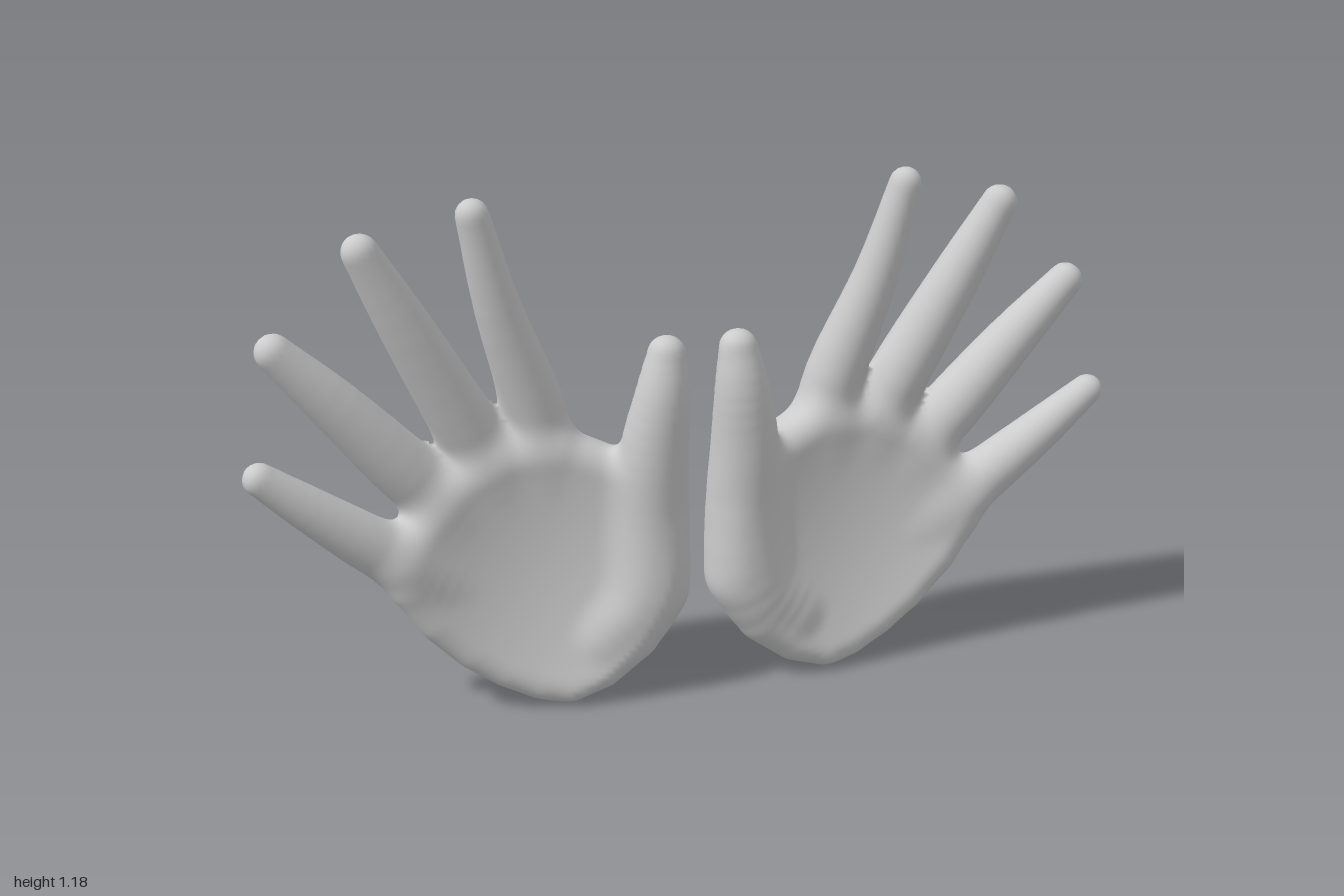
import * as THREE from 'three';

// Fingers: points along the middle, [x, y, z, radius], from inside the palm to the tip
const FINGERS = {
  thumb: [[0.22, 0.15, 0.03, 0.06], [0.128, 0.25, 0.032, 0.084], [0.108, 0.42, 0.033, 0.083], [0.106, 0.58, 0.05, 0.077], [0.092, 0.72, 0.07, 0.061], [0.082, 0.815, 0.07, 0.043]],
  indexFinger: [[0.33, 0.38, -0.05, 0.02], [0.335, 0.57, -0.053, 0.059], [0.355, 0.69, -0.044, 0.068], [0.435, 0.93, -0.007, 0.051], [0.488, 1.143, 0.018, 0.036]],
  middleFinger: [[0.41, 0.4, -0.055, 0.02], [0.465, 0.56, -0.057, 0.059], [0.51, 0.66, -0.048, 0.07], [0.627, 0.89, -0.015, 0.058], [0.724, 1.08, 0.01, 0.04]],
  ringFinger: [[0.47, 0.37, -0.05, 0.02], [0.57, 0.485, -0.05, 0.059], [0.64, 0.565, -0.042, 0.07], [0.785, 0.735, -0.024, 0.058], [0.913, 0.876, -0.01, 0.04]],
  littleFinger: [[0.5, 0.27, -0.03, 0.02], [0.62, 0.335, -0.015, 0.057], [0.705, 0.4, 0, 0.064], [0.84, 0.51, 0.02, 0.052], [0.965, 0.615, 0.035, 0.036]],
};
// Palm: a convex outline in x and y, counterclockwise, rounded off by PALM_RADIUS
const PALM = [[0.31, 0.064], [0.37, 0.078], [0.44, 0.112], [0.51, 0.162], [0.585, 0.24], [0.635, 0.32], [0.645, 0.365],
  [0.6, 0.43], [0.52, 0.515], [0.42, 0.565], [0.31, 0.57], [0.2, 0.52], [0.115, 0.4], [0.095, 0.25], [0.16, 0.145], [0.24, 0.086]];
const PALM_RADIUS = 0.064;
const PALM_FLAT = 0.01;
const BLEND = 0.045;

// Each finger becomes a smooth run of tapering bones
const CHAINS = Object.entries(FINGERS).map(([name, pts]) => {
  const curve = (toVector) => new THREE.CatmullRomCurve3(pts.map(toVector), false, 'catmullrom');
  const line = curve((p) => new THREE.Vector3(p[0], p[1], p[2]));
  const radius = curve((p) => new THREE.Vector3(p[3], 0, 0));
  const count = (pts.length - 1) * 4;
  const bones = Array.from({ length: count + 1 }, (_, i) => {
    const { x, y, z } = line.getPoint(i / count);
    return [x, y, z, radius.getPoint(i / count).x];
  });
  return { name, bones };
});

// Distance to one tapering bone
function boneDistance(p, a, b) {
  const bx = b[0] - a[0], by = b[1] - a[1], bz = b[2] - a[2];
  const px = p[0] - a[0], py = p[1] - a[1], pz = p[2] - a[2];
  const t = Math.min(1, Math.max(0, (px * bx + py * by + pz * bz) / (bx * bx + by * by + bz * bz)));
  const x = px - t * bx, y = py - t * by, z = pz - t * bz;
  return Math.sqrt(x * x + y * y + z * z) - a[3] - t * (b[3] - a[3]);
}

// Distance to the palm: a rounded plate, cupped towards the front
function palmDistance([x, y, z]) {
  let inside = true, edge2 = 10;
  for (let i = 0; i < PALM.length; i++) {
    const a = PALM[i], b = PALM[(i + 1) % PALM.length];
    const bx = b[0] - a[0], by = b[1] - a[1], px = x - a[0], py = y - a[1];
    if (bx * py - by * px < 0) inside = false;
    const t = Math.min(1, Math.max(0, (px * bx + py * by) / (bx * bx + by * by)));
    edge2 = Math.min(edge2, (px - t * bx) ** 2 + (py - t * by) ** 2);
  }
  const cup = Math.min(0.03, -0.053 + 0.65 * (x - 0.42) ** 2 + 0.38 * (y - 0.47) ** 2);
  const depth = Math.max(0, Math.abs(z - cup) - PALM_FLAT);
  return Math.sqrt((inside ? 0 : edge2) + depth ** 2) - PALM_RADIUS;
}

// Smoothly blended distance to the hand, and the name of the nearest part
function handField(p) {
  let d = palmDistance(p), nearest = d, part = 'palm';
  for (const { name, bones } of CHAINS) {
    let finger = 10;
    for (let i = 0; i + 1 < bones.length; i++) finger = Math.min(finger, boneDistance(p, bones[i], bones[i + 1]));
    if (finger < nearest) {
      nearest = finger;
      part = name;
    }
    const h = Math.max(BLEND - Math.abs(d - finger), 0) / BLEND;
    d = Math.min(d, finger) - h * h * BLEND / 4;
  }
  return { d, part };
}

function gradient(p, e) {
  return [0, 1, 2].map((a) => {
    const q = [...p], r = [...p];
    q[a] += e;
    r[a] -= e;
    return (handField(q).d - handField(r).d) / (2 * e);
  });
}

// Skin the hand: one vertex per grid cell on the surface, one quad per crossed grid edge
function buildSkin() {
  const step = 0.013, min = [-0.04, -0.05, -0.19], n = [85, 99, 30];
  const stride = [1, n[0], n[0] * n[1]];
  const at = (i, j, k) => [min[0] + i * step, min[1] + j * step, min[2] + k * step];
  const values = new Float32Array(n[0] * n[1] * n[2]);
  const eachNode = (fn) => {
    for (let k = 0; k < n[2]; k++)
      for (let j = 0; j < n[1]; j++)
        for (let i = 0; i < n[0]; i++) fn([i, j, k], i + j * stride[1] + k * stride[2]);
  };
  eachNode((c, id) => { values[id] = handField(at(...c)).d; });

  const cells = new Map(), points = [], normals = [], parts = {};
  const vertexOf = (id) => {
    if (cells.has(id)) return cells.get(id);
    const k = Math.floor(id / stride[2]), j = Math.floor((id % stride[2]) / stride[1]), i = id % stride[1];
    const p = at(i + 0.5, j + 0.5, k + 0.5);
    for (let pass = 0; pass < 3; pass++) {
      const g = gradient(p, 0.003), d = handField(p).d;
      const g2 = Math.max(0.3, g[0] ** 2 + g[1] ** 2 + g[2] ** 2);
      for (let a = 0; a < 3; a++) p[a] -= d * g[a] / g2;
    }
    const g = gradient(p, 0.014), len = Math.hypot(...g) || 1;
    points.push(p);
    normals.push(g.map((v) => v / len));
    cells.set(id, points.length - 1);
    return points.length - 1;
  };

  eachNode((c, id) => {
    for (let a = 0; a < 3; a++) {
      const b = (a + 1) % 3, e = (a + 2) % 3;
      if (c[a] + 1 >= n[a] || c[b] < 1 || c[e] < 1) continue;
      const inside = values[id] < 0;
      if (inside === values[id + stride[a]] < 0) continue;
      const sb = stride[b], se = stride[e];
      const quad = [id - sb - se, id - se, id, id - sb].map(vertexOf);
      if (!inside) quad.reverse();
      const [q0, q1, q2, q3] = quad;
      const { part } = handField(points[q0]);
      (parts[part] ??= []).push(q0, q1, q2, q0, q2, q3);
    }
  });
  return { points, normals, parts };
}

// One part of the skin, mirrored in x when side is -1
function partGeometry({ points, normals }, triangles, side) {
  const map = new Map(), position = [], normal = [], index = [];
  for (const v of triangles) {
    if (!map.has(v)) {
      map.set(v, map.size);
      const p = points[v], m = normals[v];
      position.push(p[0] * side, p[1], p[2]);
      normal.push(m[0] * side, m[1], m[2]);
    }
    index.push(map.get(v));
  }
  if (side < 0) index.reverse();
  const geometry = new THREE.BufferGeometry();
  geometry.setAttribute('position', new THREE.Float32BufferAttribute(position, 3));
  geometry.setAttribute('normal', new THREE.Float32BufferAttribute(normal, 3));
  geometry.setIndex(index);
  return geometry;
}

export function createModel() {
  const model = new THREE.Group();
  model.name = 'pairOfHands';
  const material = new THREE.MeshStandardMaterial({ color: 0xcccccc });
  const skin = buildSkin();
  const lowest = Math.min(...skin.points.map((p) => p[1]));

  for (const [name, side] of [['leftHand', 1], ['rightHand', -1]]) {
    const hand = new THREE.Group();
    hand.name = name;
    hand.position.y = -lowest;
    for (const [part, triangles] of Object.entries(skin.parts)) {
      const mesh = new THREE.Mesh(partGeometry(skin, triangles, side), material);
      mesh.name = part;
      hand.add(mesh);
    }
    model.add(hand);
  }
  return model;
}
